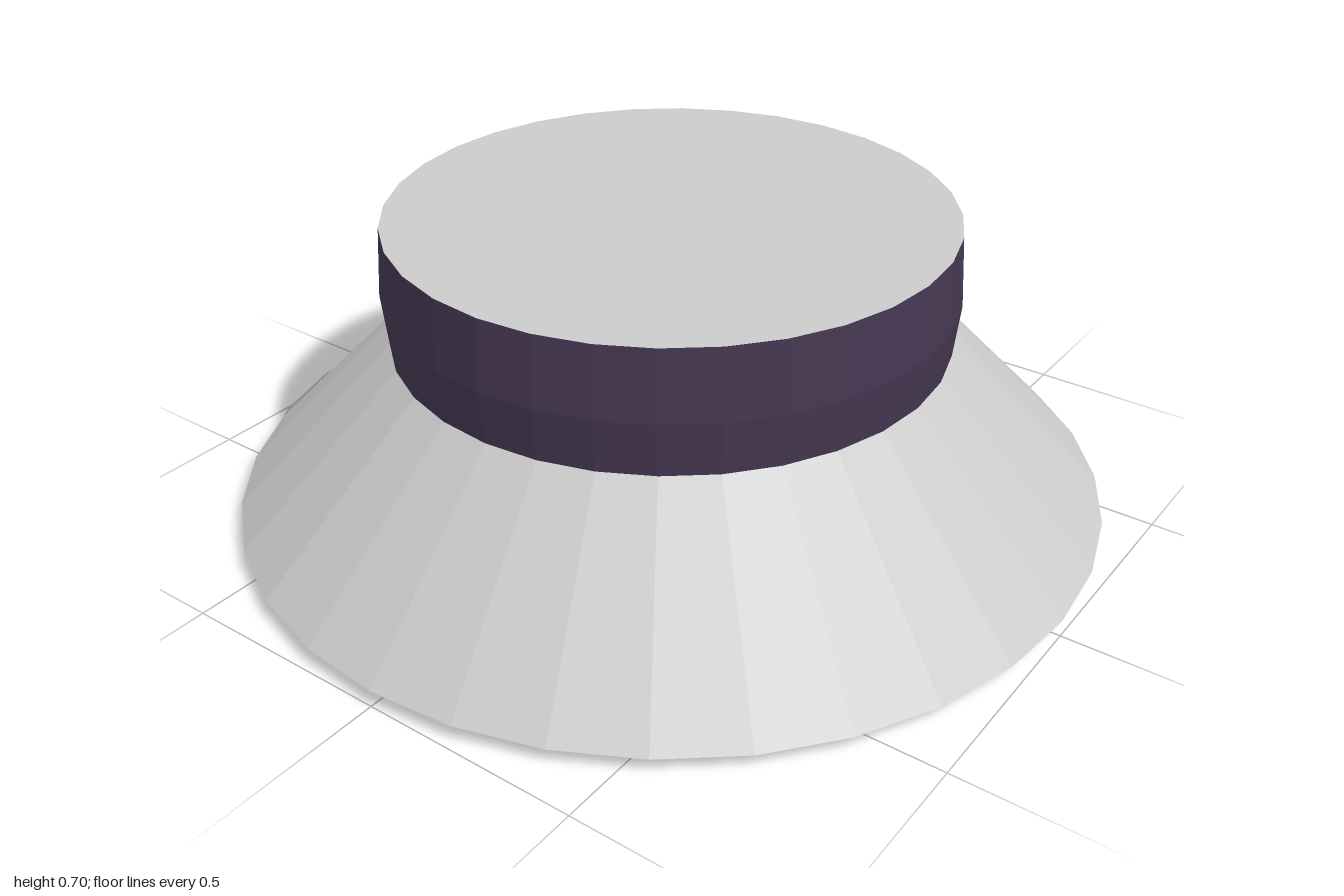
import * as THREE from 'three';

const SIDES = 32;
const grey = new THREE.MeshStandardMaterial({ color: 0xcccccc, flatShading: true });
const dark = new THREE.MeshStandardMaterial({ color: 0x453752, flatShading: true });
const greyThin = new THREE.MeshStandardMaterial({ color: 0xcccccc, flatShading: true, side: THREE.DoubleSide });

export function createModel() {
  const group = new THREE.Group();

  // Revolves a profile of [radius, height] pairs, optionally over part of the circle
  function band(name, profile, material, segments = SIDES, start = 0) {
    const points = profile.map(([r, y]) => new THREE.Vector2(r, y));
    const sweep = (segments / SIDES) * Math.PI * 2;
    const mesh = new THREE.Mesh(new THREE.LatheGeometry(points, segments, start, sweep), material);
    mesh.name = name;
    group.add(mesh);
  }

  // Shallow concave underside with a grey centre spot and ring
  const hollow = (r) => [r, 0.055 * (1 - (r / 0.945) ** 2)];
  band('undersideSpot', [0, 0.115].map(hollow), grey);
  band('undersideInner', [0.115, 0.28, 0.455].map(hollow), dark);
  band('undersideRing', [0.455, 0.535].map(hollow), grey);
  band('undersideOuter', [0.535, 0.74, 0.945].map(hollow), dark);

  // Bevelled bottom rim, sloping skirt, bulging collar and flat top
  band('rim', [[0.945, 0], [1, 0.038]], dark);
  band('skirt', [[1, 0.038], [0.632, 0.422]], grey);
  band('collar', [[0.632, 0.422], [0.645, 0.545], [0.635, 0.705]], dark);
  band('top', [[0.635, 0.705], [0, 0.705]], grey);

  // Small lip standing off the skirt, two facets wide, on the right edge
  band('lip', [[1, 0.038], [0.987, 0.062]], greyThin, 2, Math.PI * 1.5);

  return group;
}
